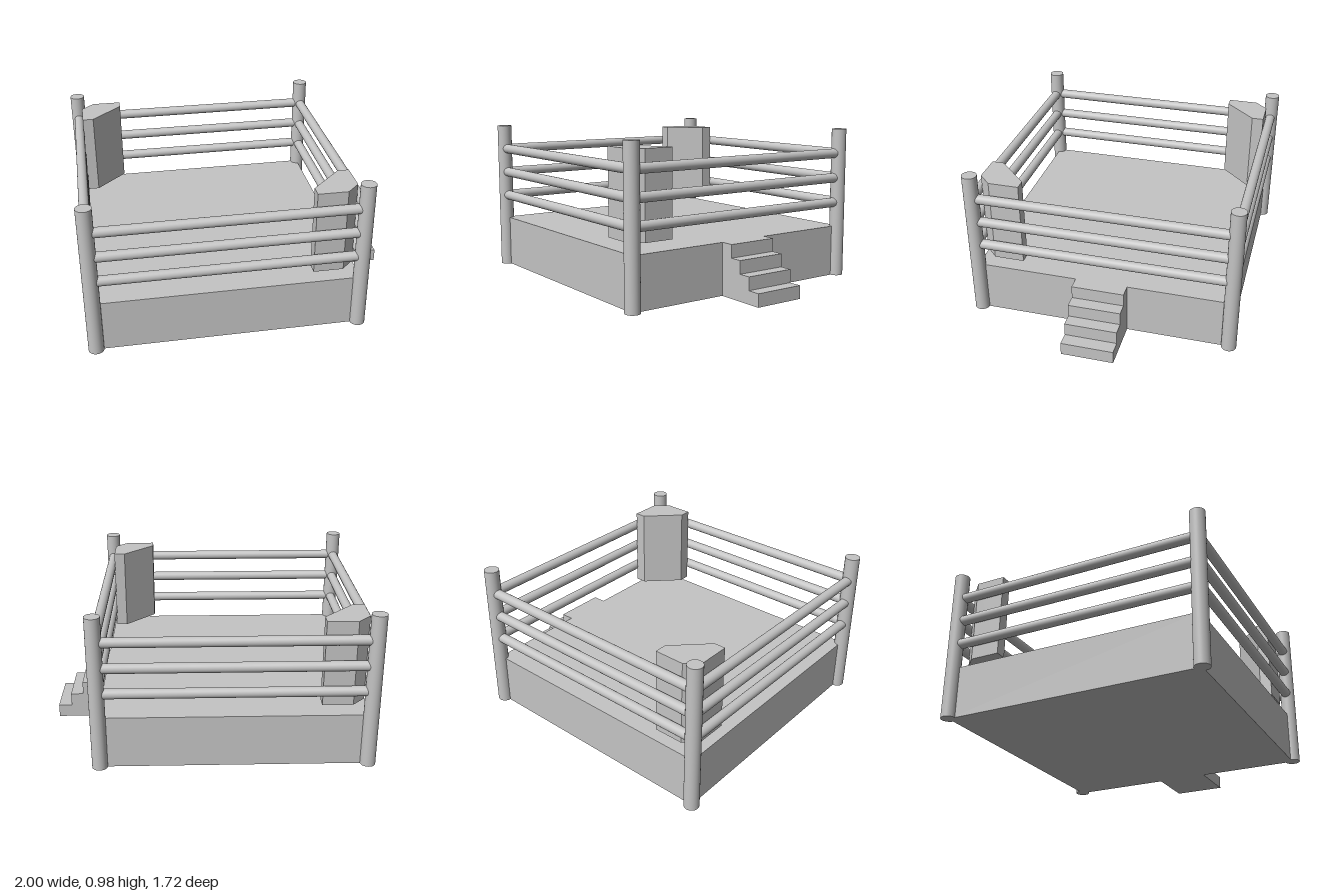
import * as THREE from 'three';

export function createModel() {
  const ring = new THREE.Group();
  ring.name = 'ring';
  const grey = new THREE.MeshStandardMaterial({ color: 0xc4c4c4 });
  grey.name = 'plainGrey';

  const add = (geometry, name, x = 0, y = 0, z = 0) => {
    const mesh = new THREE.Mesh(geometry, grey);
    mesh.name = name;
    mesh.position.set(x, y, z);
    ring.add(mesh);
    return mesh;
  };

  // The ring square: post centres at its corners
  const cx = -0.14, half = 0.812, deck = 0.33;
  const postR = 0.047, postH = 0.975;

  add(new THREE.BoxGeometry(half * 2, deck, half * 2), 'platform', cx, deck / 2, 0);

  // Corner posts
  for (const sx of [-1, 1]) {
    for (const sz of [-1, 1]) {
      add(new THREE.CylinderGeometry(postR, postR, postH, 40), 'cornerPost',
        cx + sx * half, postH / 2, sz * half);
    }
  }

  // Three ropes on each of the four sides
  for (const y of [0.49, 0.653, 0.815]) {
    for (const s of [-1, 1]) {
      const geometry = new THREE.CylinderGeometry(0.031, 0.031, half * 2, 32);
      add(geometry, 'ropeAcross', cx, y, s * half).rotation.z = Math.PI / 2;
      add(geometry, 'ropeAlong', cx + s * half, y, 0).rotation.x = Math.PI / 2;
    }
  }

  // Six-sided corner pads, in two opposite corners; offsets measured from the ring centre
  const outline = [[0.52, 0.785], [0.52, 0.71], [0.715, 0.515], [0.785, 0.515], [0.785, 0.705], [0.705, 0.785]];
  const padShape = new THREE.Shape(outline.map(([x, z]) => new THREE.Vector2(x, -z)));
  const padGeometry = new THREE.ExtrudeGeometry(padShape, { depth: 0.535, bevelEnabled: false });
  padGeometry.rotateX(-Math.PI / 2);
  add(padGeometry, 'frontCornerPad', cx, 0.385, 0);
  add(padGeometry, 'backCornerPad', cx, 0.385, 0).rotation.y = Math.PI;

  // Stairs as one stepped profile against the left side of the platform
  const x0 = cx + half, steps = 4, rise = deck / steps;
  const edges = [0.755, 0.835, 0.915, 1.0];
  const profile = new THREE.Shape();
  profile.moveTo(x0, 0);
  profile.lineTo(edges[steps - 1], 0);
  for (let i = steps - 1; i >= 0; i--) {
    const top = rise * (steps - i);
    profile.lineTo(edges[i], top);
    profile.lineTo(i > 0 ? edges[i - 1] : x0, top);
  }
  const stairGeometry = new THREE.ExtrudeGeometry(profile, { depth: 0.33, bevelEnabled: false });
  add(stairGeometry, 'stairs', 0, 0, -0.165);

  return ring;
}
